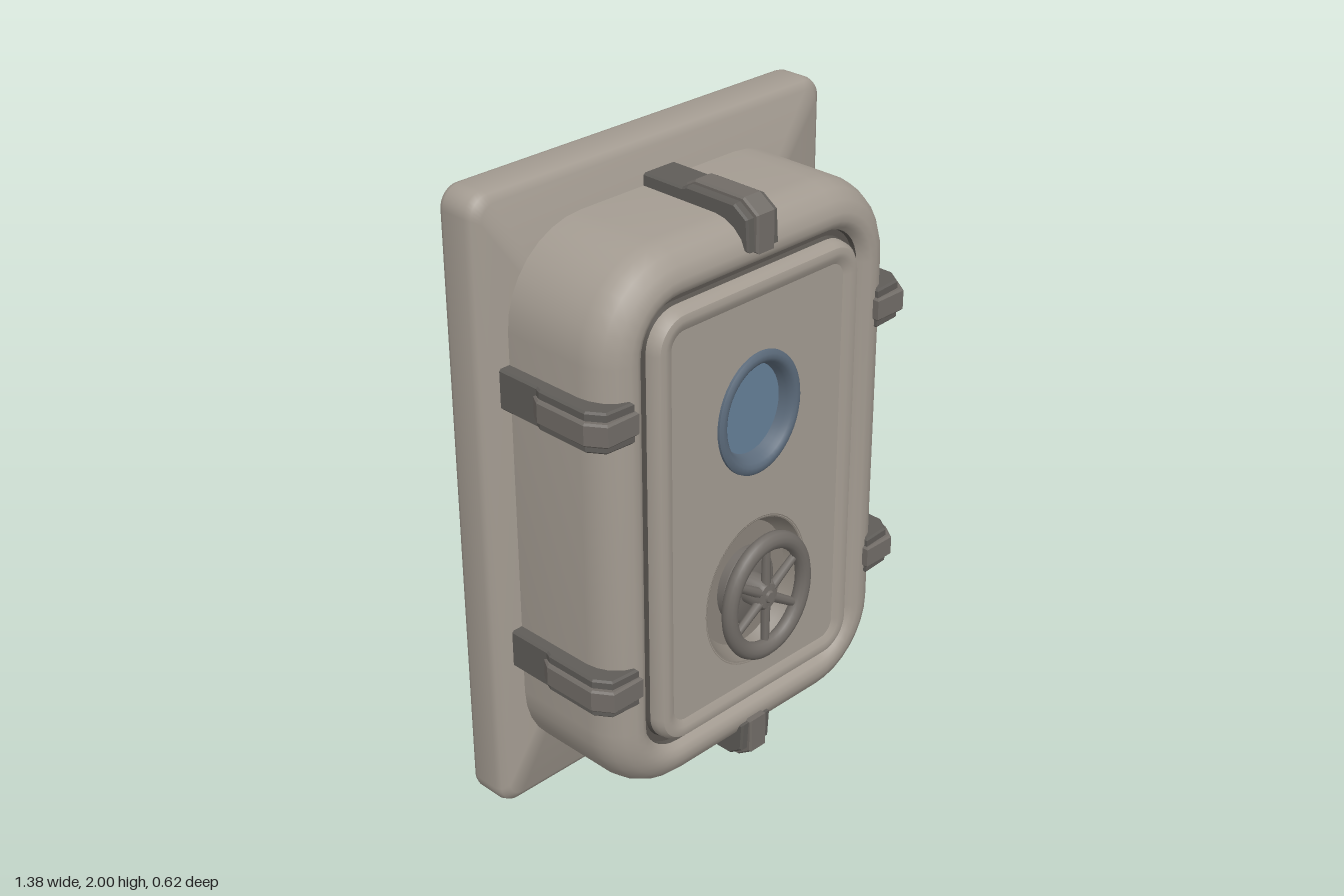
import * as THREE from 'three';
import { toCreasedNormals } from 'three/addons/utils/BufferGeometryUtils.js';

const paint = (name, color) => Object.assign(new THREE.MeshStandardMaterial({ color }), { name });

// Counter-clockwise outline of a rounded rectangle centred on (0, cy)
function outline(w, h, r, cy, n = 8) {
  const pts = [];
  for (let c = 0; c < 4; c++) {
    const sx = c === 0 || c === 3 ? 1 : -1, sy = c < 2 ? 1 : -1;
    for (let i = 0; i <= n; i++) {
      const a = (c + i / n) * Math.PI / 2;
      pts.push(new THREE.Vector2(sx * (w - r) + r * Math.cos(a), cy + sy * (h - r) + r * Math.sin(a)));
    }
  }
  return pts;
}

// Skin through rounded-rectangle rings [halfWidth, halfHeight, radius, z]
function loft(rings, cy, capped = false, crease = 0.6) {
  const pos = [], idx = [];
  for (const [w, h, r, z] of rings) for (const p of outline(w, h, r, cy)) pos.push(p.x, p.y, z);
  const n = pos.length / 3 / rings.length, last = (rings.length - 1) * n;
  for (let k = 0; k < rings.length - 1; k++) {
    for (let j = 0; j < n; j++) {
      const a = k * n + j, b = k * n + (j + 1) % n;
      idx.push(a, b, b + n, a, b + n, a + n);
    }
  }
  if (capped) {
    const c = pos.length / 3;
    pos.push(0, cy, rings[0][3], 0, cy, rings[rings.length - 1][3]);
    for (let j = 0; j < n; j++) {
      const q = (j + 1) % n;
      idx.push(c, q, j, c + 1, last + j, last + q);
    }
  }
  const g = new THREE.BufferGeometry();
  g.setAttribute('position', new THREE.Float32BufferAttribute(pos, 3));
  g.setIndex(idx);
  g.computeVertexNormals();
  return toCreasedNormals(g, crease);
}

// Turned shape whose axis points forward, profile given as [radius, z]
function turned(profile, seg = 48) {
  const g = new THREE.LatheGeometry(profile.map(([r, z]) => new THREE.Vector2(r, z)), seg);
  return toCreasedNormals(g.rotateX(Math.PI / 2), 0.7);
}

// Clamp slice: profile in (outward, forward), extruded across its width
function slice(profile, width) {
  const shape = new THREE.Shape(profile.map(([r, z]) => new THREE.Vector2(r, z)));
  const b = 0.006;
  const g = new THREE.ExtrudeGeometry(shape, {
    depth: width - 2 * b, bevelEnabled: true, bevelSize: b, bevelThickness: b, bevelOffset: -b, bevelSegments: 1,
  });
  return g.translate(0, 0, -width / 2 + b).rotateX(Math.PI / 2);
}

export function createModel() {
  const stone = paint('warm grey paint', 0xa39b91);
  const steel = paint('dark clamp steel', 0x5f5c58);
  const wheelSteel = paint('wheel steel', 0x716c67);
  const gasket = paint('dark gasket', 0x57534e);
  const rimBlue = paint('blue grey rim', 0x5b6a7a);
  const glass = paint('blue glass', 0x657f98);
  const recessGrey = paint('recess grey', 0x8a837a);

  const model = new THREE.Group();
  model.name = 'hatchDoor';
  const add = (name, geo, mat, parent = model) => {
    const m = new THREE.Mesh(geo, mat);
    m.name = name;
    parent.add(m);
    return m;
  };

  // Wall plate
  add('wallPlate', loft([
    [0.67, 0.98, 0.05, -0.31], [0.685, 0.995, 0.06, -0.295], [0.69, 1, 0.065, -0.28],
    [0.69, 1, 0.065, -0.195], [0.683, 0.993, 0.06, -0.175], [0.66, 0.97, 0.05, -0.16],
  ], 1, true, 0.9), stone);

  // Door body, gasket groove and raised bead are rings of growing inset
  const cy = 0.985;
  const ring = (d, z) => [0.585 - d, 0.875 - d, Math.max(0.28 - d, 0.05), z];
  add('doorBody', loft([
    ring(0, -0.17), ring(0, 0.12), ring(0.006, 0.155), ring(0.022, 0.19), ring(0.05, 0.219),
    ring(0.085, 0.235), ring(0.11, 0.235), ring(0.13, 0.225), ring(0.142, 0.205),
  ], cy), stone);
  add('gasketGroove', loft([ring(0.142, 0.205), ring(0.145, 0.19), ring(0.164, 0.19), ring(0.168, 0.205)], cy), gasket);
  add('panelBead', loft([
    ring(0.168, 0.205), ring(0.172, 0.232), ring(0.184, 0.246), ring(0.2, 0.25), ring(0.215, 0.247), ring(0.235, 0.236),
  ], cy), stone);

  // Front panel with openings for the window and the wheel recess
  const windowY = 1.26, wheelY = 0.66, tall = 1.15;
  const face = new THREE.Shape(outline(0.35, 0.64, 0.05, cy));
  for (const [y, r] of [[windowY, 0.155], [wheelY, 0.212]]) {
    const hole = new THREE.Path();
    hole.absellipse(0, y, r, r * tall, 0, Math.PI * 2, true);
    face.holes.push(hole);
  }
  add('frontPanel', new THREE.ShapeGeometry(face, 32).translate(0, 0, 0.236), stone);

  // Porthole
  const porthole = new THREE.Group();
  porthole.name = 'porthole';
  porthole.position.y = windowY;
  porthole.scale.y = tall;
  model.add(porthole);
  add('portholeRim', turned([
    [0.171, 0.23], [0.169, 0.243], [0.16, 0.25], [0.148, 0.25], [0.138, 0.243], [0.13, 0.225], [0.122, 0.195],
  ]), rimBlue, porthole);
  add('portholeGlass', new THREE.CircleGeometry(0.125, 48).translate(0, 0, 0.2), glass, porthole);

  // Hand wheel in its recess
  const wheel = new THREE.Group();
  wheel.name = 'handWheel';
  wheel.position.y = wheelY;
  wheel.scale.y = tall;
  model.add(wheel);
  add('wheelRecess', turned([[0.217, 0.237], [0.208, 0.234], [0.195, 0.2], [0.18, 0.18], [0, 0.18]]), recessGrey, wheel);
  add('wheelFlange', turned([[0.11, 0.18], [0.108, 0.205], [0.095, 0.215], [0, 0.215]]), wheelSteel, wheel);
  add('wheelRim', new THREE.TorusGeometry(0.16, 0.025, 12, 48).translate(0, 0, 0.28), wheelSteel, wheel);
  add('wheelHub', turned([[0.045, 0.18], [0.045, 0.275], [0.036, 0.288], [0.018, 0.29], [0.015, 0.298], [0, 0.298]], 24), wheelSteel, wheel);
  for (let i = 0; i < 6; i++) {
    const spoke = new THREE.CylinderGeometry(0.012, 0.015, 0.13, 8).translate(0, 0.095, 0);
    const m = add('wheelSpoke', spoke, wheelSteel, wheel);
    m.position.z = 0.275;
    m.rotation.z = i * Math.PI / 3;
  }

  // Six clamps: wide saddle with a narrower hooked arm on top
  const saddle = slice([
    [-0.03, -0.17], [0.038, -0.17], [0.038, -0.01], [0.046, 0.01], [0.046, 0.19], [0.012, 0.24],
    [-0.085, 0.246], [-0.085, 0.2], [-0.03, 0.13],
  ], 0.125);
  const arm = slice([
    [0, -0.02], [0.04, -0.02], [0.06, 0.015], [0.06, 0.2], [0.022, 0.256], [-0.093, 0.256], [-0.093, 0.21], [0, 0.18],
  ], 0.072);
  const places = [[0, 1.86, Math.PI / 2], [0, 0.11, -Math.PI / 2]];
  for (const y of [0.56, 1.42]) places.push([0.585, y, 0], [-0.585, y, Math.PI]);
  for (const [x, y, turn] of places) {
    const clamp = new THREE.Group();
    clamp.name = 'clamp';
    clamp.position.set(x, y, 0);
    clamp.rotation.z = turn;
    add('clampSaddle', saddle, steel, clamp);
    add('clampArm', arm, wheelSteel, clamp);
    model.add(clamp);
  }
  return model;
}
